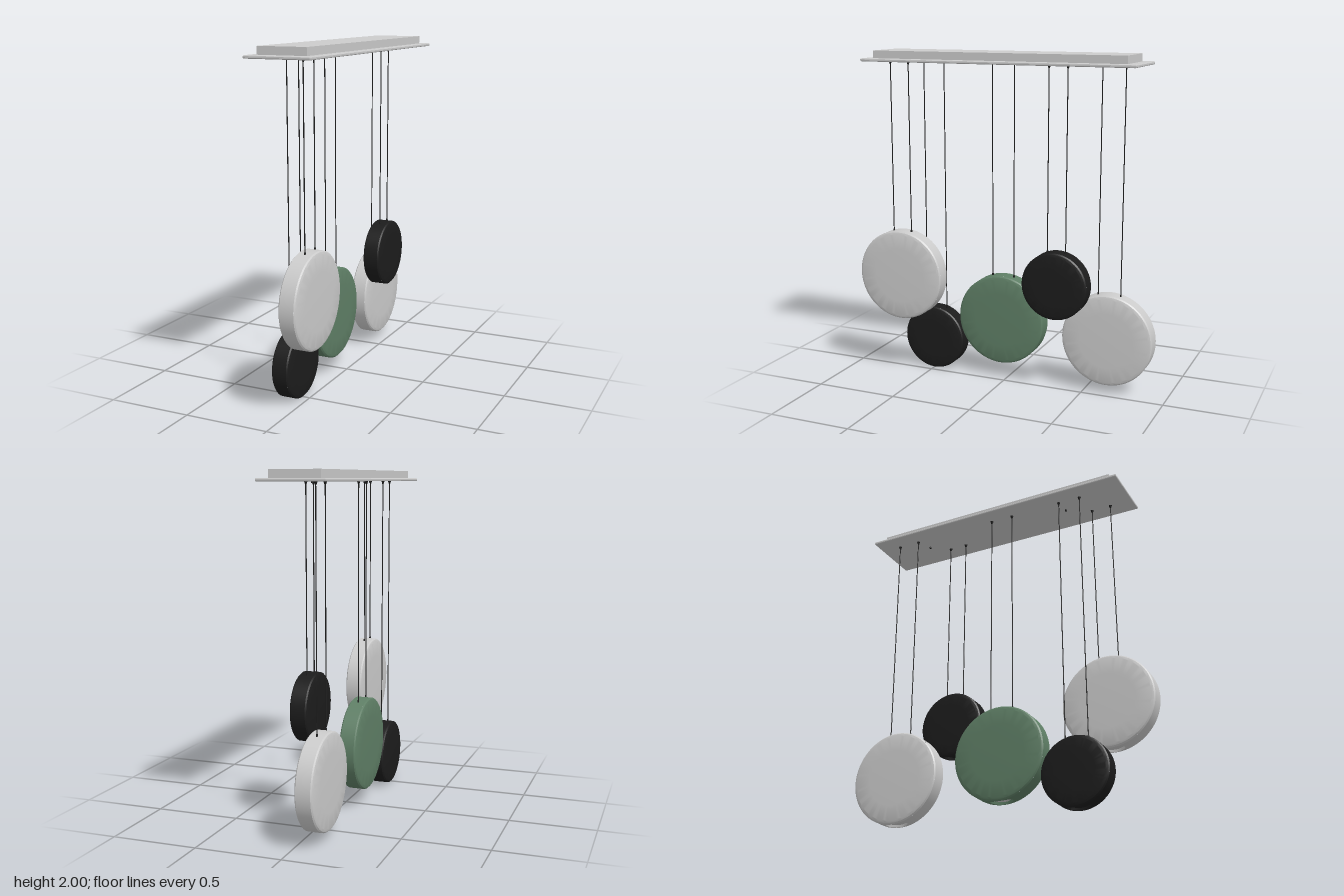
import * as THREE from 'three';
import { toCreasedNormals } from 'three/addons/utils/BufferGeometryUtils.js';

const grey = new THREE.MeshStandardMaterial({ color: 0xcccccc });
const green = new THREE.MeshStandardMaterial({ color: 0x5f7f66 });
const black = new THREE.MeshStandardMaterial({ color: 0x1c1c1c });

const RIM = 0.042;            // half width of the flat rim
const HALF = 0.058;           // half thickness at the middle of a face
const OPEN_X = 0.037, OPEN_Z = 0.07; // half sizes of the light opening

function add(parent, name, geometry, material, x = 0, y = 0, z = 0) {
  const mesh = new THREE.Mesh(geometry, material);
  mesh.name = name;
  mesh.position.set(x, y, z);
  parent.add(mesh);
  return mesh;
}

// Closed rings round the light opening, bent round the bottom of a disc.
// Each ring is a function of the angle giving [x, arc angle, radius].
function bentRings(rings) {
  const n = 64, pos = [], index = [];
  rings.forEach((ring, i) => {
    for (let j = 0; j < n; j++) {
      const [x, t, rho] = ring((j / n) * Math.PI * 2);
      pos.push(x, -rho * Math.cos(t), rho * Math.sin(t));
      if (i === 0) continue;
      const k = (j + 1) % n, o = (i - 1) * n, q = i * n;
      index.push(o + j, o + k, q + k, o + j, q + k, q + j);
    }
  });
  const g = new THREE.BufferGeometry();
  g.setAttribute('position', new THREE.Float32BufferAttribute(pos, 3));
  g.setIndex(index);
  g.computeVertexNormals();
  return toCreasedNormals(g, 0.5);
}

// Round lamp with its axis along x and an oval light opening at the bottom
function lampDisc(r, material, lensMaterial) {
  const disc = new THREE.Group();
  disc.name = 'lampDisc';

  // Slightly domed faces with a bevelled edge
  const profile = [
    [r, RIM], [r - 0.007, 0.049], [r - 0.018, 0.053], [r - 0.022, 0.054],
    [r * 0.6, 0.0565], [r * 0.3, 0.0575], [0, HALF],
  ].map(([a, b]) => new THREE.Vector2(a, b));
  const face = toCreasedNormals(new THREE.LatheGeometry(profile, 96).rotateZ(-Math.PI / 2), 0.35);
  add(disc, 'leftFace', face, material);
  add(disc, 'rightFace', face, material).rotation.y = Math.PI;

  // Rim, leaving room for the opening
  const arc = (OPEN_Z + 0.02) / r;
  const rim = new THREE.CylinderGeometry(r, r, RIM * 2, 96, 1, true,
    Math.PI / 2 + arc, Math.PI * 2 - 2 * arc).rotateZ(-Math.PI / 2);
  add(disc, 'rim', rim, material);

  // Rim piece round the opening, and the wall going in
  const border = (f) => (a) => {
    const c = Math.cos(a), s = Math.sin(a), m = Math.max(Math.abs(c), Math.abs(s));
    return [
      THREE.MathUtils.lerp(RIM * c / m, OPEN_X * c, f),
      THREE.MathUtils.lerp(arc * s / m, OPEN_Z / r * s, f), r];
  };
  const oval = (scale, rho) => (a) =>
    [OPEN_X * scale * Math.cos(a), OPEN_Z / r * scale * Math.sin(a), rho];
  add(disc, 'openingSurround', bentRings([
    border(0), border(0.5), border(1), oval(0.97, r - 0.015),
  ]), material);

  // Light diffuser set into the opening
  add(disc, 'diffuser', bentRings([
    oval(0.97, r - 0.015), oval(0.6, r - 0.014), oval(0.3, r - 0.013), oval(0, r - 0.013),
  ]), lensMaterial);
  return disc;
}

export function createModel() {
  const model = new THREE.Group();
  model.name = 'pendantLamp';
  const plateBottom = 1.937;

  // Ceiling canopy: box on a thin plate with a bevelled lip
  add(model, 'canopyBox', new THREE.BoxGeometry(0.29, 0.05, 1.56), grey, 0, 1.975, 0);
  const w = 0.186, l = 0.834;
  const outline = new THREE.Shape([[-w, -l], [w, -l], [w, l], [-w, l]]
    .map(([x, y]) => new THREE.Vector2(x, y)));
  const plate = new THREE.ExtrudeGeometry(outline, {
    depth: 0.008, bevelEnabled: true, bevelThickness: 0.005, bevelSize: 0.006, bevelSegments: 2,
  }).rotateX(-Math.PI / 2);
  add(model, 'canopyPlate', plate, grey, 0, plateBottom + 0.005, 0);

  // Fixing screws under the plate
  for (const z of [0.44, -0.53]) {
    add(model, 'fixingScrew', new THREE.CylinderGeometry(0.007, 0.007, 0.01, 16), black,
      0, plateBottom - 0.004, z);
  }

  // Discs: x, y, z, radius, distance of each cable from the middle, materials
  const lamps = [
    [0.082, 0.635, 0.64, 0.276, 0.06, grey, grey],
    [-0.088, 0.2, 0.497, 0.199, 0.068, black, black],
    [-0.088, 0.372, 0.04, 0.276, 0.07, green, grey],
    [0.082, 0.672, -0.366, 0.199, 0.056, black, black],
    [-0.088, 0.328, -0.638, 0.276, 0.069, grey, grey],
  ];
  for (const [x, y, z, r, gap, material, lens] of lamps) {
    const pendant = new THREE.Group();
    pendant.name = 'pendant';
    model.add(pendant);
    const disc = lampDisc(r, material, lens);
    disc.position.set(x, y, z);
    pendant.add(disc);

    // Two cables with a grip at each end
    const low = y + Math.sqrt(r * r - gap * gap);
    for (const side of [-1, 1]) {
      const cz = z + side * gap, length = plateBottom - low + 0.01;
      add(pendant, 'cable', new THREE.CylinderGeometry(0.003, 0.003, length, 10), black,
        x, low - 0.01 + length / 2, cz);
      add(pendant, 'cableGrip', new THREE.CylinderGeometry(0.01, 0.004, 0.018, 16), black,
        x, plateBottom - 0.008, cz);
      add(pendant, 'discFerrule', new THREE.CylinderGeometry(0.005, 0.006, 0.016, 12), black,
        x, low + 0.003, cz);
    }
  }
  return model;
}
